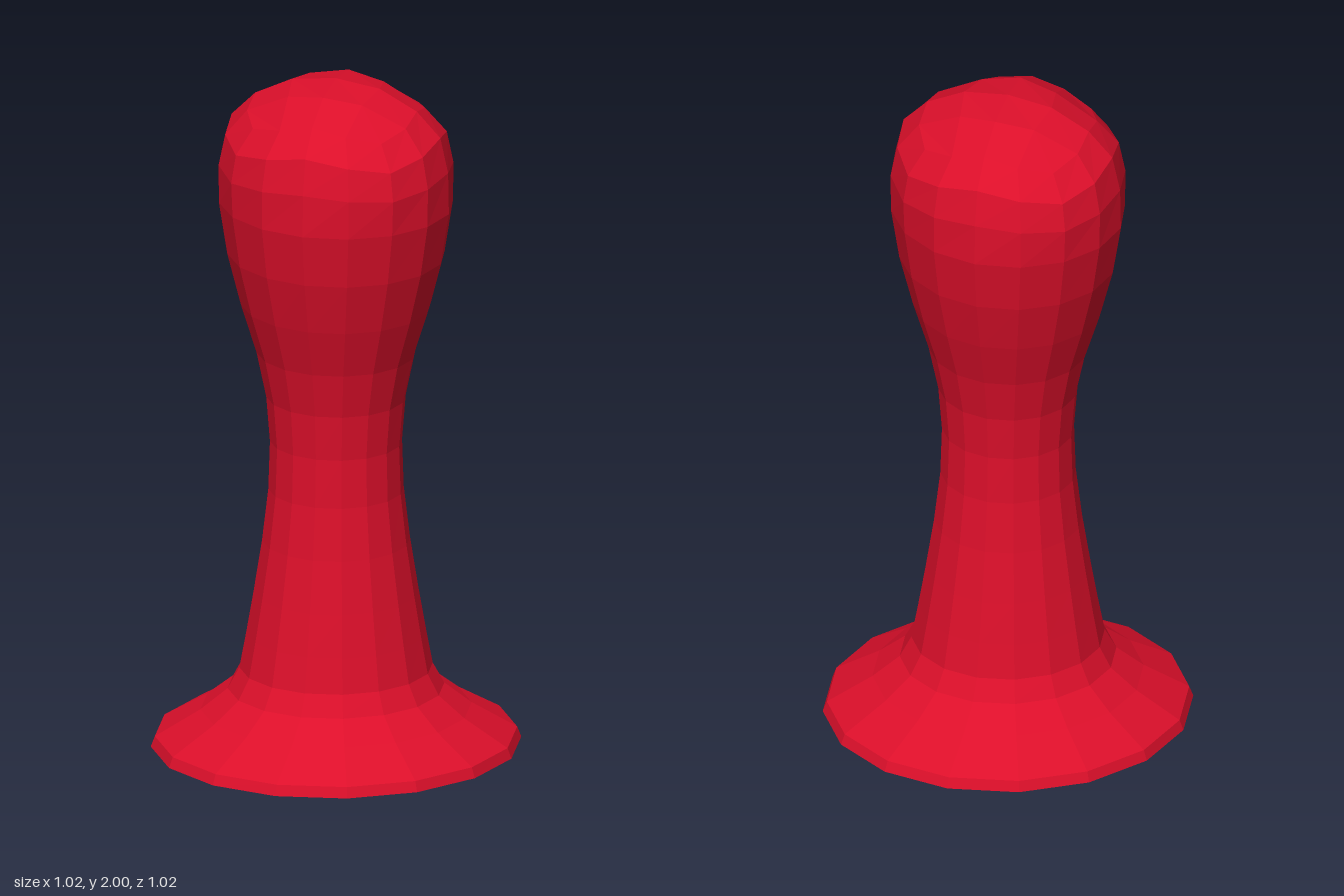
import * as THREE from 'three';

const SIDES = 16;

// Rings from the knob down to the foot: [radius, y, radius and y at the diagonals (optional)]
const RINGS = [
  [0.24, 1.93, 0.27, 1.89],
  [0.31, 1.86, 0.325, 1.82],
  [0.333, 1.76, 0.34, 1.74],
  [0.335, 1.64], [0.31, 1.49], [0.27, 1.34], [0.225, 1.2],
  [0.197, 1.07], [0.186, 0.94], [0.19, 0.8], [0.207, 0.65],
  [0.23, 0.5], [0.25, 0.38], [0.268, 0.28], [0.3, 0.22],
  [0.375, 0.16], [0.5, 0.085], [0.511, 0.055], [0.43, 0.03], [0.22, 0.012],
];

function buildPawn() {
  const positions = [];
  const index = [];
  // Slight diagonal skew that changes from foot to knob
  const addVertex = (x, y, z) => {
    const s = THREE.MathUtils.mapLinear(Math.min(y, 1.7), 0, 1.7, -0.02, 0.04);
    positions.push(x + s * z, y, z + s * x);
    return positions.length / 3 - 1;
  };
  const quad = (a, b, c, d) => index.push(a, b, c, a, c, d);

  // Body rings
  const rings = RINGS.map(([r, y, rd = r, yd = y]) =>
    Array.from({ length: SIDES }, (_, k) => {
      const angle = (k / SIDES) * Math.PI * 2;
      const t = Math.sin(2 * angle) ** 2;
      const radius = THREE.MathUtils.lerp(r, rd, t);
      return addVertex(radius * Math.cos(angle), THREE.MathUtils.lerp(y, yd, t), radius * Math.sin(angle));
    }));
  for (let n = 0; n < rings.length - 1; n++) {
    const a = rings[n], b = rings[n + 1];
    for (let k = 0; k < SIDES; k++) {
      const m = (k + 1) % SIDES;
      quad(a[k], a[m], b[m], b[k]);
    }
  }

  // Domed 4 x 4 grid whose border is the first ring
  const perimeter = (i, j) => {
    const k = i === 2 ? j : j === 2 ? 4 - i : i === -2 ? 8 - j : 12 + i;
    return rings[0][(k + SIDES) % SIDES];
  };
  const grid = {};
  for (let i = -2; i <= 2; i++) {
    for (let j = -2; j <= 2; j++) {
      const border = Math.max(Math.abs(i), Math.abs(j)) === 2;
      const spread = i && j ? 0.11 : 0.13;
      grid[[i, j]] = border ? perimeter(i, j)
        : addVertex(i * spread, 2 - 0.016 * (i * i + j * j), j * spread);
    }
  }
  for (let i = -2; i < 2; i++) {
    for (let j = -2; j < 2; j++) {
      quad(grid[[i, j]], grid[[i, j + 1]], grid[[i + 1, j + 1]], grid[[i + 1, j]]);
    }
  }

  // Shallow underside
  const centre = addVertex(0, 0, 0);
  const last = rings[rings.length - 1];
  for (let k = 0; k < SIDES; k++) index.push(centre, last[k], last[(k + 1) % SIDES]);

  const geometry = new THREE.BufferGeometry();
  geometry.setAttribute('position', new THREE.Float32BufferAttribute(positions, 3));
  geometry.setIndex(index);
  geometry.computeVertexNormals();
  return geometry;
}

export function createModel() {
  const group = new THREE.Group();
  group.name = 'gamePawn';
  const material = new THREE.MeshStandardMaterial({ color: 0xdc0f2a, flatShading: true });
  const body = new THREE.Mesh(buildPawn(), material);
  body.name = 'pawnBody';
  group.add(body);
  return group;
}
